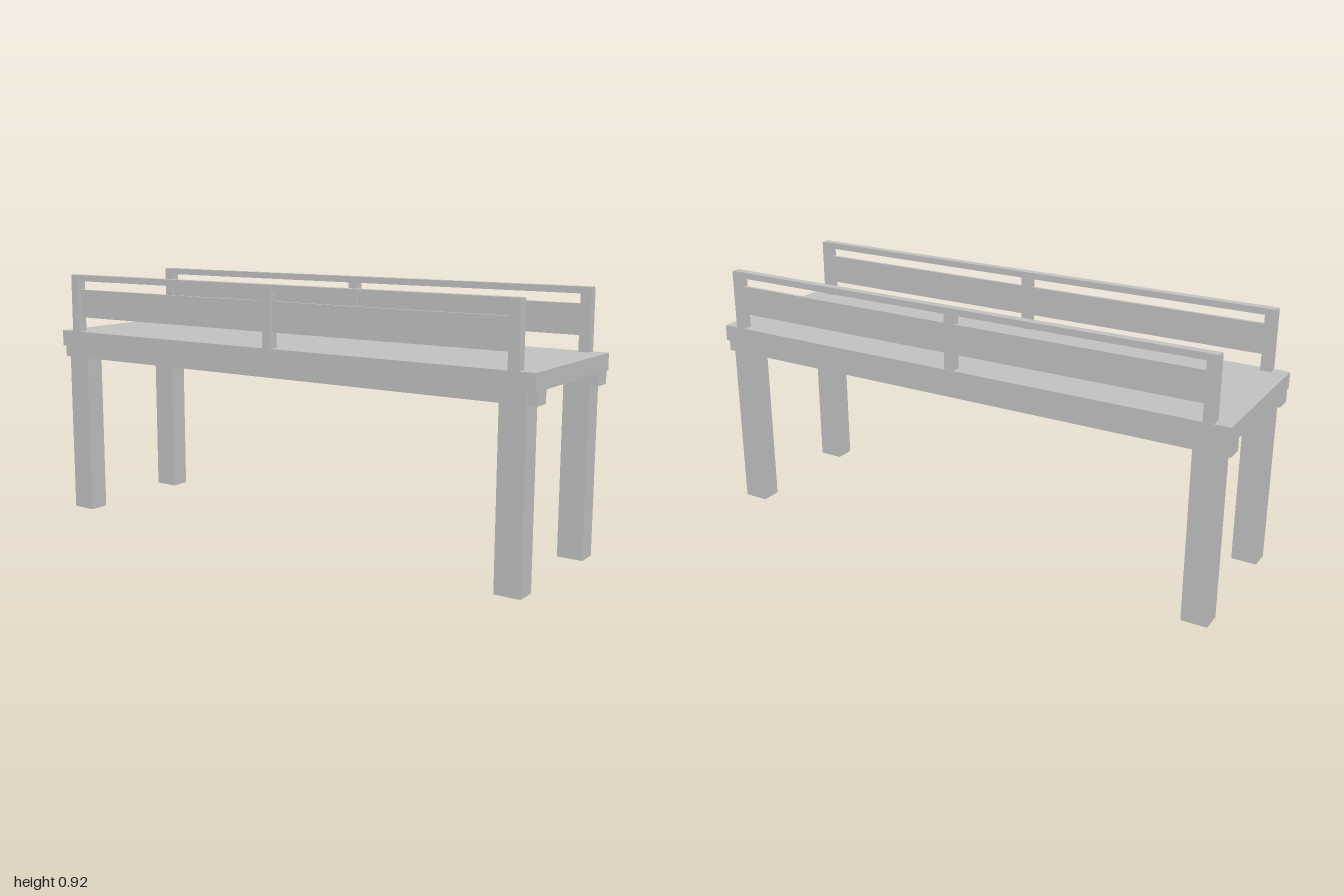
import * as THREE from 'three';

export function createModel() {
  const model = new THREE.Group();
  model.name = 'railedTable';
  const grey = new THREE.MeshStandardMaterial({ color: 0xc0c0c0 });
  grey.name = 'plain grey';

  // Box given by its lower and upper bounds on each axis
  function box(name, [x0, x1], [y0, y1], [z0, z1]) {
    const mesh = new THREE.Mesh(new THREE.BoxGeometry(x1 - x0, y1 - y0, z1 - z0), grey);
    mesh.position.set((x0 + x1) / 2, (y0 + y1) / 2, (z0 + z1) / 2);
    mesh.name = name;
    model.add(mesh);
  }
  // The same span on the positive or the negative side
  const span = (s, a, b) => (s > 0 ? [a, b] : [-b, -a]);

  box('deck', [-0.286, 0.286], [0.646, 0.705], [-1, 1]);

  for (const sx of [1, -1]) {
    const side = sx > 0 ? 'left' : 'right';
    const postX = span(sx, 0.25, 0.284);

    // Beam under the deck and the legs around it
    box(side + 'Beam', span(sx, 0.208, 0.271), [0.602, 0.646], [-1, 1]);
    for (const sz of [1, -1]) {
      const end = sz > 0 ? 'Front' : 'Back';
      box(side + end + 'Leg', span(sx, 0.203, 0.278), [0, 0.646], span(sz, 0.878, 0.97));
      box(side + end + 'Post', postX, [0.705, 0.92], span(sz, 0.907, 0.945));
      // Recessed panel between the posts
      box(side + end + 'Panel', span(sx, 0.261, 0.273), [0.76, 0.866], span(sz, 0.018, 0.907));
    }

    // Middle post and top rail
    box(side + 'MiddlePost', postX, [0.705, 0.9], [-0.018, 0.018]);
    box(side + 'TopRail', span(sx, 0.252, 0.282), [0.9, 0.923], [-0.943, 0.943]);
  }
  return model;
}
